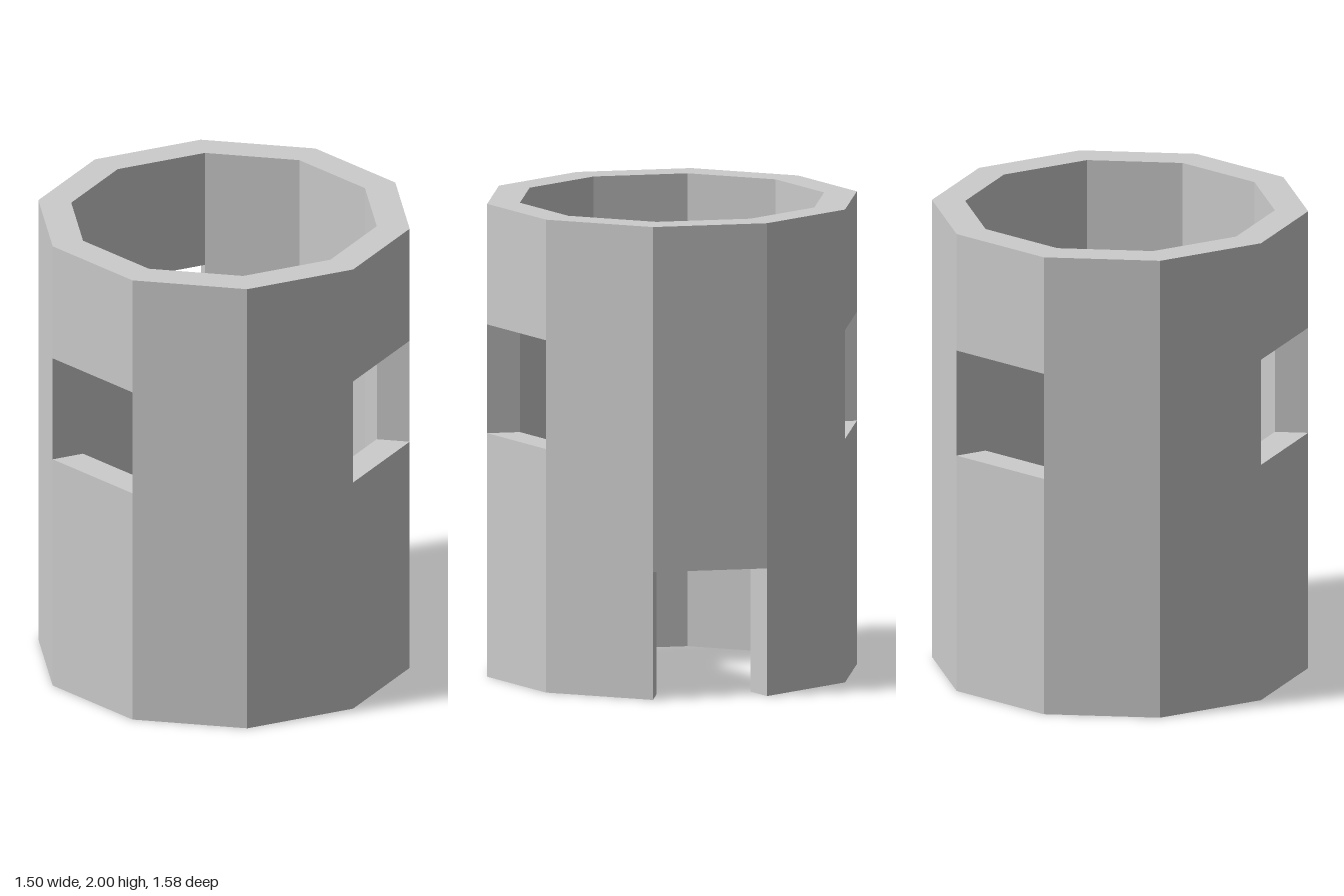
import * as THREE from 'three';

const SIDES = 10, OUTER = 0.79, INNER = 0.65, HEIGHT = 2;
const WINDOW = [1.03, 1.49], DOOR = [0, 0.54];
// Panel index (counted from the front towards +x) -> opening filling that panel
const OPENINGS = { 0: WINDOW, 2: DOOR, 4: WINDOW, 7: WINDOW };

// Point on the ring at a corner index, radius and height
function corner(i, radius, y) {
  const a = (i / SIDES) * Math.PI * 2;
  return [radius * Math.sin(a), y, radius * Math.cos(a)];
}

function wallGeometry() {
  const positions = [];
  const quad = (a, b, c, d) => positions.push(...a, ...b, ...c, ...a, ...c, ...d);

  // Horizontal face across the wall thickness
  const ledge = (i, y, up) => {
    const q = [corner(i, OUTER, y), corner(i + 1, OUTER, y), corner(i + 1, INNER, y), corner(i, INNER, y)];
    quad(...(up ? q : q.reverse()));
  };
  // Radial side face of an opening
  const jamb = (i, [lo, hi], flip) => {
    const q = [corner(i, OUTER, lo), corner(i, INNER, lo), corner(i, INNER, hi), corner(i, OUTER, hi)];
    quad(...(flip ? q.reverse() : q));
  };

  for (let i = 0; i < SIDES; i++) {
    const hole = OPENINGS[i];
    const spans = hole ? [[0, hole[0]], [hole[1], HEIGHT]] : [[0, HEIGHT]];
    for (const [lo, hi] of spans) {
      if (hi <= lo) continue;
      // Outer and inner faces, then top and underside of this piece of wall
      quad(corner(i, OUTER, lo), corner(i + 1, OUTER, lo), corner(i + 1, OUTER, hi), corner(i, OUTER, hi));
      quad(corner(i + 1, INNER, lo), corner(i, INNER, lo), corner(i, INNER, hi), corner(i + 1, INNER, hi));
      ledge(i, hi, true);
      ledge(i, lo, false);
    }
    if (hole) {
      jamb(i, hole, false);
      jamb(i + 1, hole, true);
    }
  }

  const geometry = new THREE.BufferGeometry();
  geometry.setAttribute('position', new THREE.Float32BufferAttribute(positions, 3));
  geometry.computeVertexNormals();
  return geometry;
}

export function createModel() {
  const group = new THREE.Group();
  group.name = 'tower';
  // Ten-sided hollow wall with three windows and a doorway
  const wall = new THREE.Mesh(
    wallGeometry(),
    new THREE.MeshStandardMaterial({ color: 0xcccccc, flatShading: true })
  );
  wall.name = 'towerWall';
  group.add(wall);
  return group;
}
